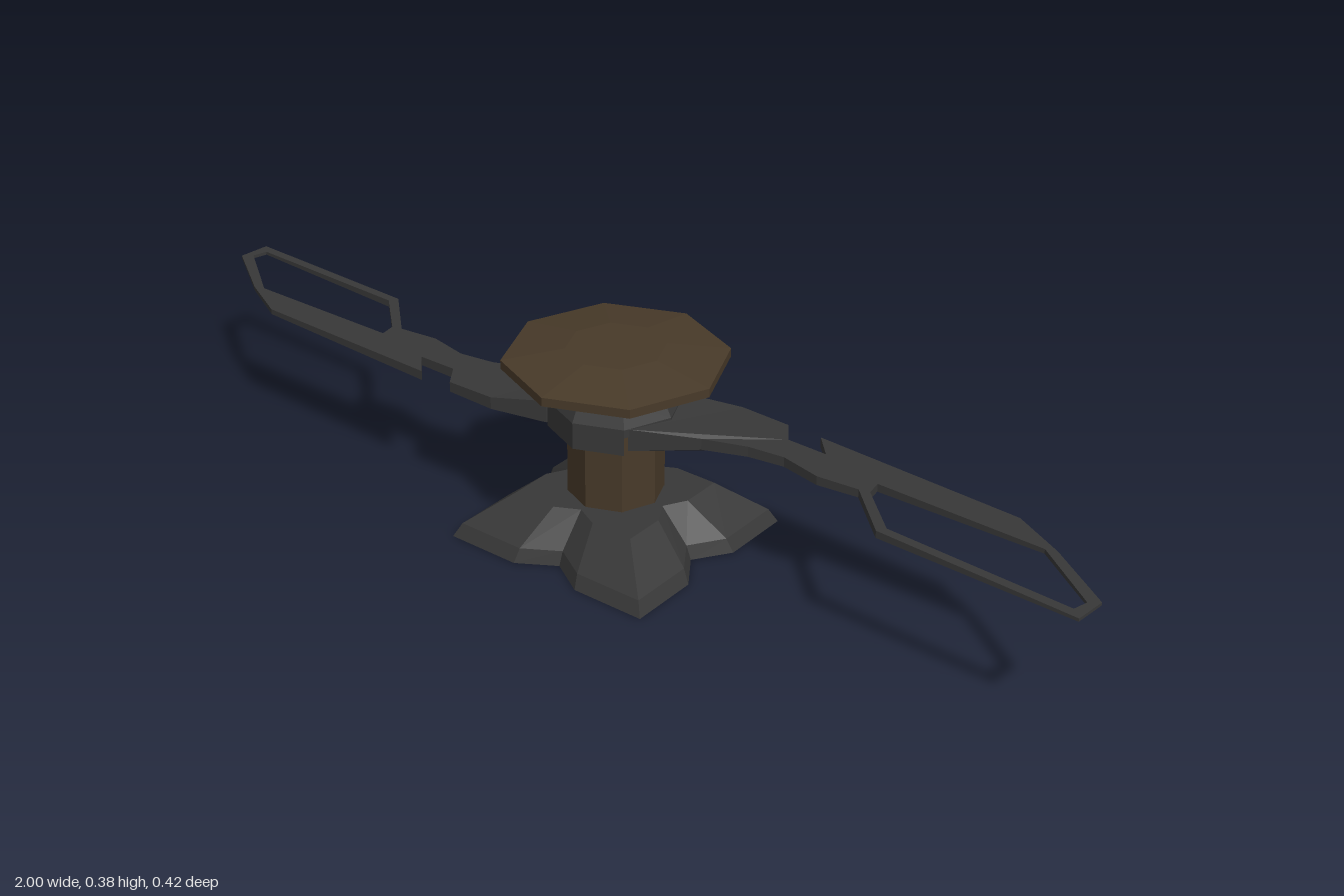
import * as THREE from 'three';

export function createModel() {
  const model = new THREE.Group();
  const flat = (name, color) => {
    const m = new THREE.MeshStandardMaterial({ color, flatShading: true, side: THREE.DoubleSide });
    m.name = name;
    return m;
  };
  const darkMetal = flat('darkMetal', 0x383838);
  const bronze = flat('bronze', 0x483a29);

  const add = (name, geometry, material) => {
    const mesh = new THREE.Mesh(geometry, material);
    mesh.name = name;
    model.add(mesh);
    return mesh;
  };
  const turned = (points, segments = 8, start = 0, length = Math.PI * 2) =>
    new THREE.LatheGeometry(points.map(([r, y]) => new THREE.Vector2(r, y)), segments, start, length);

  // Hollow four-footed base: rings of [corner, foot half-gap, notch depth, y]
  const rings = [
    [0.215, 0.07, 0.17, 0],
    [0.202, 0.066, 0.16, 0.027],
    [0.129, 0.045, 0.105, 0.09],
    [0.064, 0.035, 0.088, 0.09],
  ];
  const positions = [];
  const indices = [];
  for (const [corner, gap, notch, y] of rings) {
    for (let q = 0; q < 4; q++) {
      for (const [a, b] of [[notch, 0], [corner, gap], [corner, corner], [gap, corner]]) {
        const c = Math.round(Math.cos(q * Math.PI / 2));
        const s = Math.round(Math.sin(q * Math.PI / 2));
        positions.push((a * c - b * s) * 1.025, y, (a * s + b * c) * 0.975);
      }
    }
  }
  for (let r = 0; r < rings.length - 1; r++) {
    for (let i = 0; i < 16; i++) {
      const a = r * 16 + i;
      const b = r * 16 + (i + 1) % 16;
      indices.push(a, a + 16, b, b, a + 16, b + 16);
    }
  }
  const base = new THREE.BufferGeometry();
  base.setAttribute('position', new THREE.Float32BufferAttribute(positions, 3));
  base.setIndex(indices);
  base.computeVertexNormals();
  add('base', base, darkMetal);

  // Column, open at the bottom
  add('column', turned([[0.09, 0.06], [0.09, 0.33], [0, 0.33]]), bronze);

  // Collar around the column, with a deeper skirt at front and back
  add('collar', turned([[0.09, 0.264], [0.125, 0.264], [0.125, 0.28], [0.104, 0.32], [0.088, 0.32]]), darkMetal);
  for (const [name, angle] of [['frontSkirt', 0], ['backSkirt', Math.PI]]) {
    add(name, turned([[0.09, 0.264], [0.09, 0.228], [0.125, 0.228], [0.125, 0.264]],
      2, angle - Math.PI / 4, Math.PI / 2), darkMetal);
  }

  // Floating octagonal cap
  add('cap', turned([[0, 0.35], [0.208, 0.35], [0.208, 0.367], [0.092, 0.384], [0, 0.384]]), bronze);

  // Rotor arm outline and window, in x and z
  const toPoints = (list) => list.map(([x, z]) => new THREE.Vector2(x, -z));
  const outline = new THREE.Shape(toPoints([
    [0.09, -0.09], [0.19, -0.128], [0.29, -0.128], [0.32, -0.085], [0.4, -0.085], [0.36, -0.128],
    [0.77, -0.116], [0.87, -0.065], [0.998, 0.022], [0.992, 0.085], [0.605, 0.07], [0.51, -0.022],
    [0.43, -0.013], [0.35, -0.03], [0.28, -0.02], [0.2, 0.01], [0.09, 0.08],
  ]));
  outline.holes.push(new THREE.Path(toPoints([
    [0.525, -0.058], [0.53, -0.027], [0.615, 0.053], [0.972, 0.066], [0.98, 0.037], [0.85, -0.058],
  ])));
  const arm = new THREE.ExtrudeGeometry(outline, { depth: 1, bevelEnabled: false });
  arm.rotateX(-Math.PI / 2);

  // Thin the arm from root to tip
  const p = arm.attributes.position;
  for (let i = 0; i < p.count; i++) {
    const x = p.getX(i);
    const half = x < 0.2 ? 0.011 + (0.2 - x) * 0.1 : THREE.MathUtils.lerp(0.011, 0.003, (x - 0.2) / 0.8);
    p.setY(i, 0.257 + (p.getY(i) > 0.5 ? half : -half));
  }
  arm.computeVertexNormals();
  add('leftArm', arm, darkMetal);
  add('rightArm', arm, darkMetal).rotation.y = Math.PI;

  return model;
}
